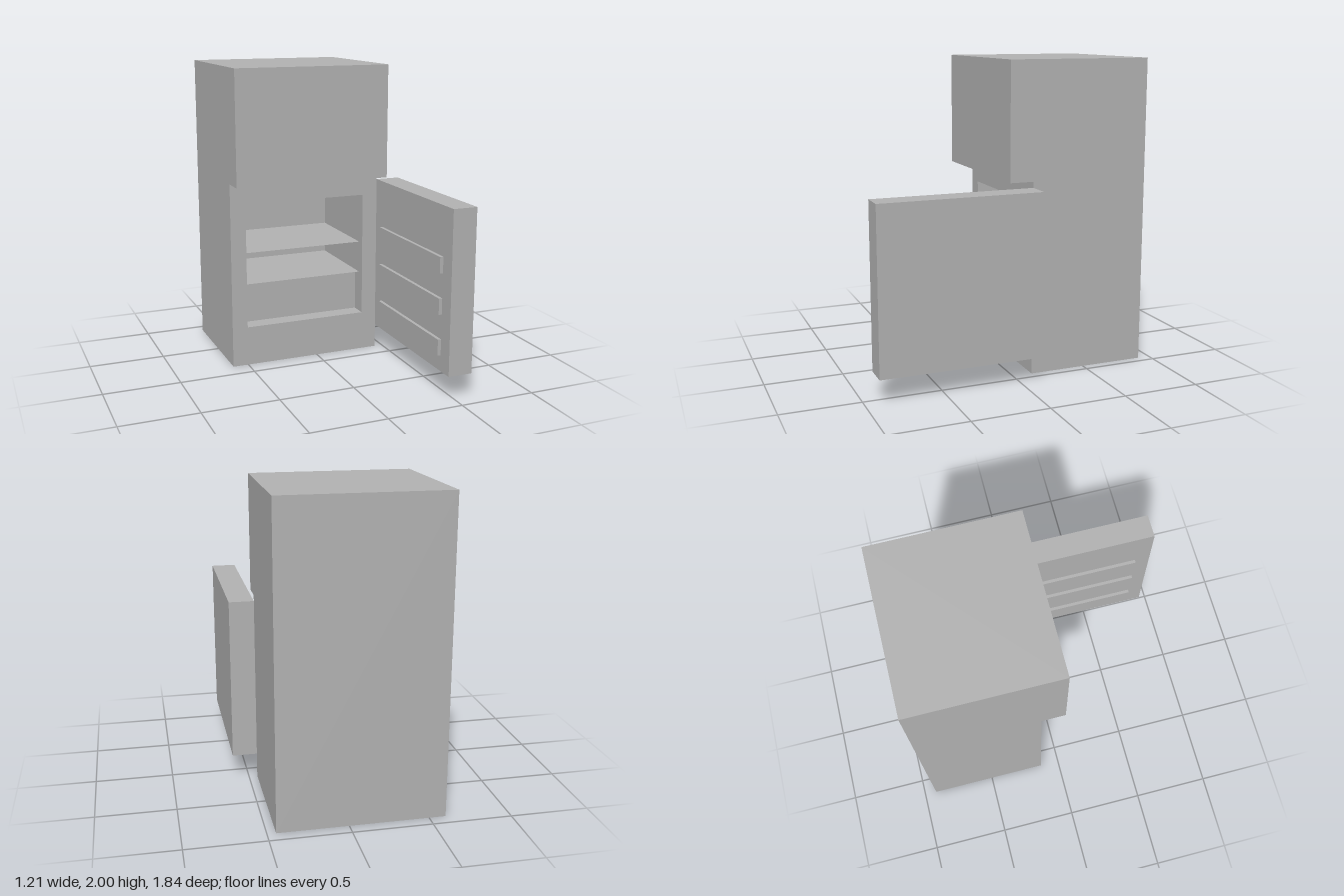
import * as THREE from 'three';

export function createModel() {
  const model = new THREE.Group();
  model.name = 'refrigerator';
  const grey = new THREE.MeshStandardMaterial({ color: 0xb2b2b2, side: THREE.DoubleSide });
  grey.name = 'plain grey';

  function add(name, geometry, parent = model) {
    const mesh = new THREE.Mesh(geometry, grey);
    mesh.name = name;
    parent.add(mesh);
    return mesh;
  }

  // Open sheet following a [z, y] path, spanning x0 to x1
  function sheet(path, x0, x1) {
    const pos = [];
    for (let i = 0; i < path.length - 1; i++) {
      const [za, ya] = path[i], [zb, yb] = path[i + 1];
      pos.push(x0, ya, za, x1, ya, za, x1, yb, zb, x0, ya, za, x1, yb, zb, x0, yb, zb);
    }
    const g = new THREE.BufferGeometry();
    g.setAttribute('position', new THREE.Float32BufferAttribute(pos, 3));
    g.computeVertexNormals();
    return g;
  }

  // Flat side panel from a [z, y] outline, facing +x or -x
  function sidePanel(outline, x, facing) {
    const shape = new THREE.Shape(outline.map(([z, y]) => new THREE.Vector2(-facing * z, y)));
    return new THREE.ShapeGeometry(shape).rotateY(facing * Math.PI / 2).translate(x, 0, 0);
  }

  const rect = (x0, y0, x1, y1) =>
    [[x0, y0], [x1, y0], [x1, y1], [x0, y1]].map(([x, y]) => new THREE.Vector2(x, y));

  const left = 0.445, right = -0.605, back = -0.92, face = -0.13, top = 2;
  const cavity = { x0: -0.5, x1: 0.34, y0: 0.265, y1: 1.11, back: -0.81 };

  // Cabinet shell, open underneath, with the closed upper door standing forward
  const shell = new THREE.Group();
  shell.name = 'cabinet';
  model.add(shell);
  const upper = [[face, 1.25], [0.025, 1.25], [0.025, top], [back, top], [back, 0]];
  add('cabinetShell', sheet(upper, right, left), shell);
  const outline = [[face, 0], ...upper];
  add('leftSide', sidePanel(outline, left, 1), shell);
  add('rightSide', sidePanel(outline, right, -1), shell);

  // Lower front frame around the compartment opening
  const frame = new THREE.Shape(rect(right, 0, left, 1.25));
  frame.holes.push(new THREE.Path(rect(cavity.x0, cavity.y0, cavity.x1, cavity.y1)));
  add('frontFrame', new THREE.ShapeGeometry(frame).translate(0, 0, face), shell);

  // Compartment lining
  const lining = [[face, cavity.y0], [cavity.back, cavity.y0],
    [cavity.back, cavity.y1], [face, cavity.y1]];
  const inside = new THREE.Group();
  inside.name = 'compartment';
  model.add(inside);
  add('lining', sheet(lining, cavity.x0, cavity.x1), inside);
  add('liningRight', sidePanel(lining, cavity.x0, 1), inside);
  add('liningLeft', sidePanel(lining, cavity.x1, -1), inside);

  // Bottom drawer block and two shelves
  add('drawer', sheet([[-0.245, cavity.y0], [-0.245, 0.54], [cavity.back, 0.54]],
    cavity.x0, cavity.x1), inside);
  for (const y of [0.55, 0.767]) {
    add('shelf', sheet([[-0.18, y], [cavity.back, y]], cavity.x0, cavity.x1), inside);
  }

  // Lower door swung fully open, with racks on its inner face
  const door = new THREE.Group();
  door.name = 'openDoor';
  model.add(door);
  add('doorPanel', new THREE.BoxGeometry(0.16, 1.05, 1.05), door).position.set(0.525, 0.687, 0.395);
  for (const y of [0.318, 0.582, 0.845]) {
    add('doorRack', new THREE.BoxGeometry(0.022, 0.104, 0.84), door).position.set(0.434, y, 0.395);
  }
  return model;
}
